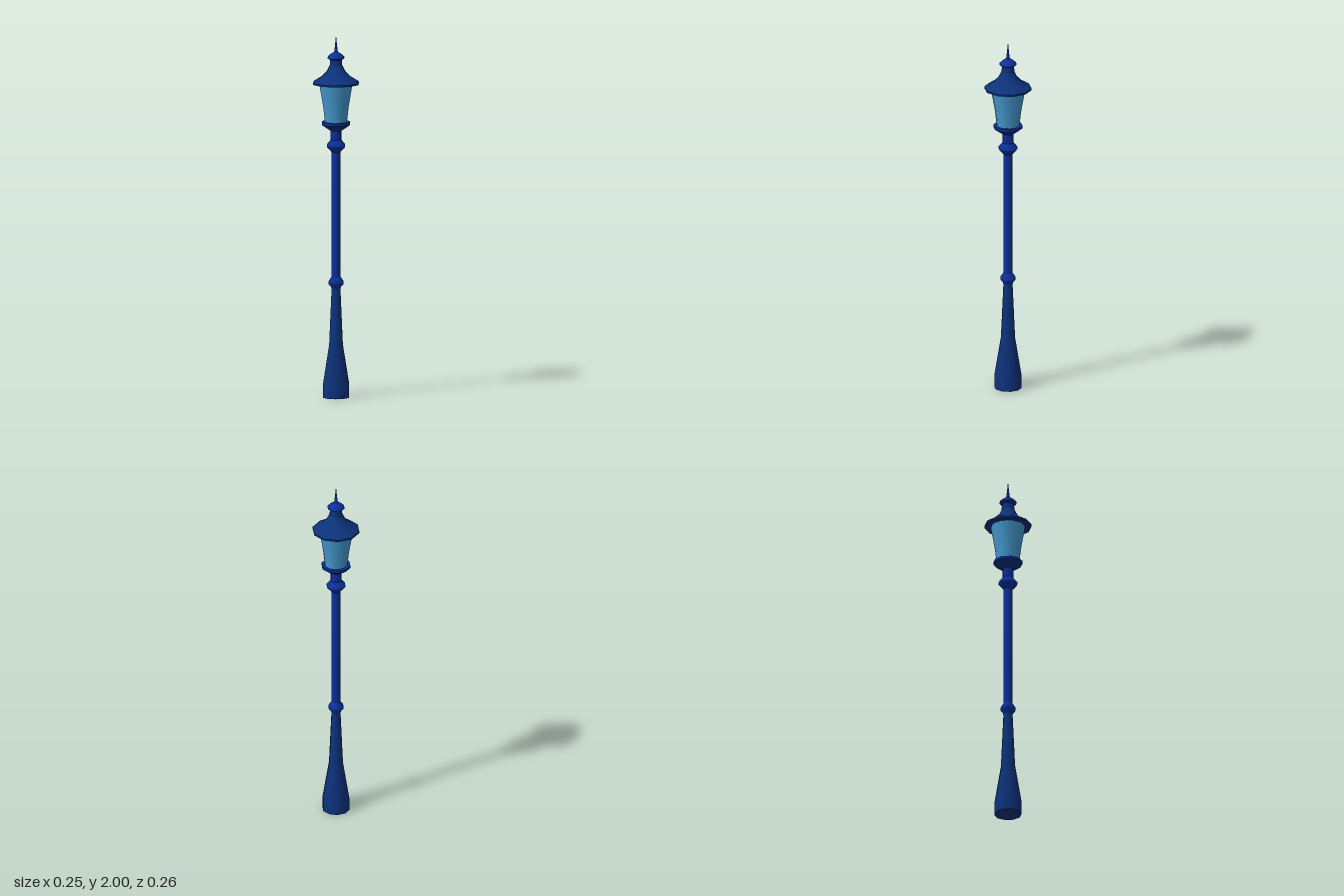
import * as THREE from 'three';

const SIDES = 10;

export function createModel() {
  const group = new THREE.Group();
  const paint = (name, color) => {
    const m = new THREE.MeshStandardMaterial({ color });
    m.name = name;
    return m;
  };
  const navy = paint('navy iron', 0x0d327c);
  const blue = paint('blue iron', 0x0c309c);
  const glass = paint('lamp glass', 0x469bd2);

  // Turned part from [radius, height] pairs, listed bottom to top
  const turn = (name, material, profile) => {
    const points = profile.map(([r, y]) => new THREE.Vector2(r, y));
    const mesh = new THREE.Mesh(new THREE.LatheGeometry(points, SIDES), material);
    mesh.name = name;
    group.add(mesh);
  };

  // Flared foot and tapering lower column
  turn('footUnderside', navy, [[0, 0], [0.075, 0]]);
  turn('base', navy, [[0.075, 0], [0.075, 0.07], [0.039, 0.29], [0.025, 0.605]]);

  // Slim pole with two collars
  turn('lowerCollar', blue, [[0.025, 0.595], [0.028, 0.61], [0.042, 0.625], [0.042, 0.64], [0.025, 0.665]]);
  turn('pole', blue, [[0.025, 0.66], [0.025, 1.36]]);
  turn('upperCollar', blue, [[0.025, 1.353], [0.052, 1.383], [0.052, 1.394], [0.03, 1.42]]);
  turn('neck', blue, [[0.03, 1.42], [0.03, 1.475]]);

  // Tray holding the lantern
  turn('trayUnderside', navy, [[0.03, 1.472], [0.045, 1.48], [0.08, 1.505]]);
  turn('trayRim', blue, [[0.08, 1.505], [0.08, 1.52]]);
  turn('trayTop', blue, [[0.08, 1.52], [0, 1.52]]);

  // Glass widening towards the roof
  turn('lanternGlass', glass, [[0.063, 1.52], [0.072, 1.6], [0.095, 1.73]]);

  // Bell-shaped roof
  turn('roofUnderside', navy, [[0, 1.728], [0.13, 1.728]]);
  turn('roofRim', navy, [[0.13, 1.728], [0.13, 1.738]]);
  turn('roof', navy, [[0.13, 1.738], [0.082, 1.768], [0.053, 1.797], [0.036, 1.83]]);

  // Chimney, cap and spike
  turn('chimney', navy, [[0.036, 1.825], [0.033, 1.865]]);
  turn('capUnderside', blue, [[0.033, 1.862], [0.047, 1.87]]);
  turn('cap', blue, [[0.047, 1.87], [0.047, 1.878], [0.032, 1.892], [0.011, 1.905]]);
  turn('spike', blue, [[0.011, 1.9], [0.006, 1.94], [0, 2]]);

  return group;
}
